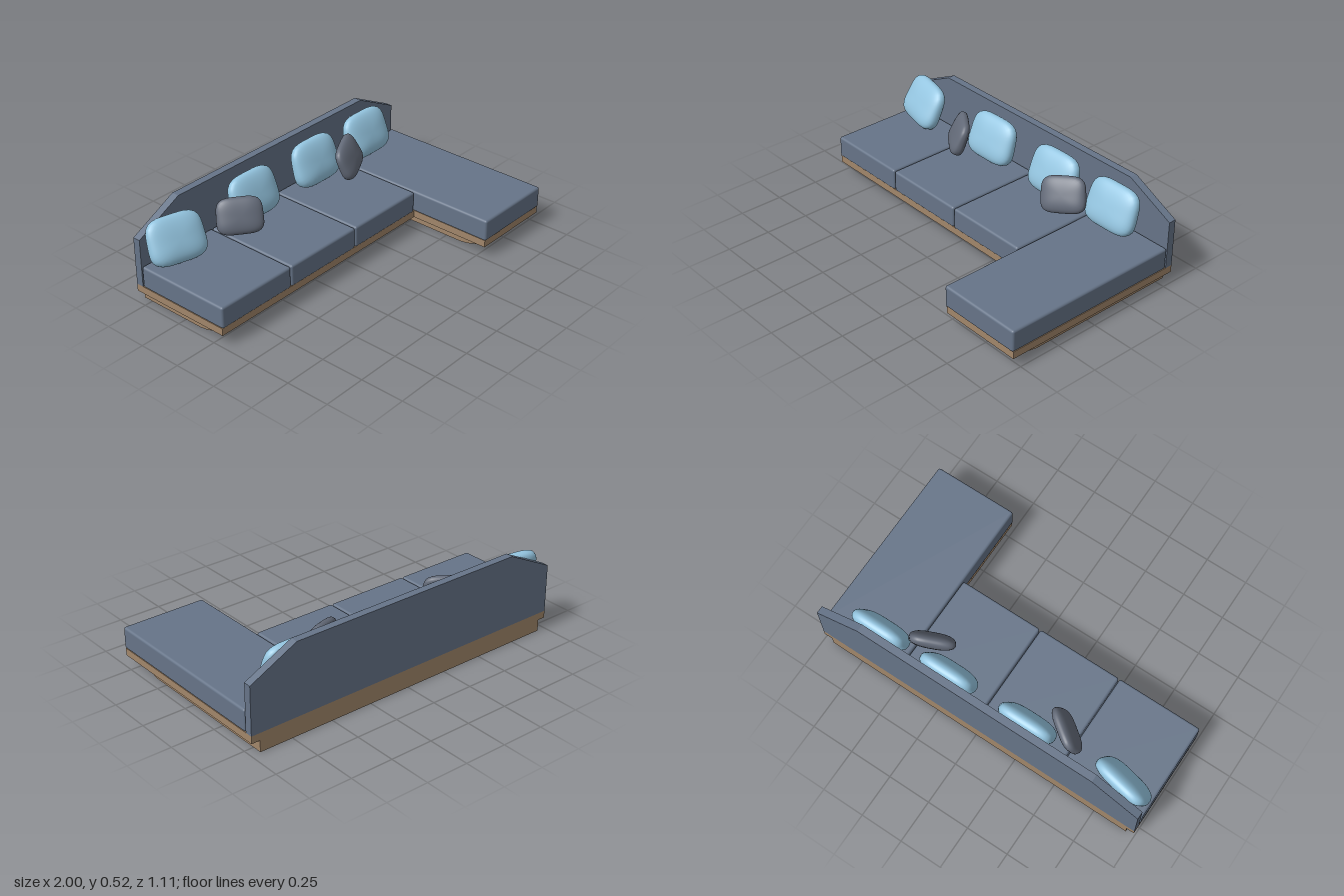
import * as THREE from 'three';
import { mergeVertices } from 'three/addons/utils/BufferGeometryUtils.js';
import { RoundedBoxGeometry } from 'three/addons/geometries/RoundedBoxGeometry.js';

const mat = (name, color) => {
  const m = new THREE.MeshStandardMaterial({ color });
  m.name = name;
  return m;
};

// Puffy pillow: a sphere pushed out to a rounded square, thinner towards the top
function pillowGeometry(w, h, t) {
  let geo = new THREE.SphereGeometry(1, 40, 28);
  geo.rotateX(Math.PI / 2);
  geo.deleteAttribute('uv');
  geo.deleteAttribute('normal');
  geo = mergeVertices(geo, 1e-4);
  const p = geo.attributes.position;
  for (let i = 0; i < p.count; i++) {
    const x = p.getX(i), y = p.getY(i), z = p.getZ(i);
    const flat = Math.pow(x ** 4 + y ** 4, 0.25);
    const r = 1 / Math.pow(flat ** 2.6 + Math.abs(z) ** 2.6, 1 / 2.6);
    const v = y * r;
    p.setXYZ(i, x * r * w / 2 * (1 - 0.03 * v), v * h / 2, z * r * t / 2 * (1 - 0.22 * v));
  }
  geo.computeVertexNormals();
  return geo;
}

// Horizontal slab from an outline in x and z
function slab(shape, bottom, top) {
  const geo = new THREE.ExtrudeGeometry(shape, { depth: top - bottom, bevelEnabled: false, curveSegments: 5 });
  geo.rotateX(Math.PI / 2);
  geo.translate(0, top, 0);
  return geo;
}

export function createModel() {
  const group = new THREE.Group();
  group.name = 'cornerSofa';
  const slate = mat('slateFabric', 0x667488);
  const grey = mat('greyFabric', 0x636a78);
  const blue = mat('blueFabric', 0x94c5e0);
  const wood = mat('wood', 0xa1866a);

  const add = (name, geo, material) => {
    const mesh = new THREE.Mesh(geo, material);
    mesh.name = name;
    group.add(mesh);
    return mesh;
  };

  // Plinth with one rounded bulge under each seat
  const plinth = new THREE.Shape();
  plinth.moveTo(-0.95, -0.555);
  plinth.lineTo(0.945, -0.555);
  const bulge = (right, left, front) => {
    const rx = 0.08, rz = 0.11;
    plinth.lineTo(right, front - rz);
    plinth.quadraticCurveTo(right - 0.01, front - 0.01, right - rx, front);
    plinth.lineTo(left + rx, front);
    plinth.quadraticCurveTo(left + 0.01, front - 0.01, left, front - rz);
  };
  bulge(0.945, 0.56, 0.45);
  plinth.lineTo(0.56, -0.145);
  bulge(0.44, 0.07, -0.035);
  bulge(-0.07, -0.44, -0.035);
  bulge(-0.57, -0.95, -0.035);
  plinth.closePath();
  add('plinth', slab(plinth, 0, 0.066), wood);

  // L-shaped base board
  const board = new THREE.Shape([
    [-0.995, -0.555], [0.995, -0.555], [0.995, 0.545],
    [0.508, 0.545], [0.508, 0.06], [-0.995, 0.06],
  ].map(([x, z]) => new THREE.Vector2(x, z)));
  add('baseBoard', slab(board, 0.066, 0.108), wood);

  // Backrest with sloping shoulders
  const back = new THREE.Shape([
    [-0.995, 0.108], [0.995, 0.108], [0.995, 0.385],
    [0.715, 0.524], [-0.715, 0.524], [-0.995, 0.385],
  ].map(([x, y]) => new THREE.Vector2(x, y)));
  const backGeo = new THREE.ExtrudeGeometry(back, { depth: 0.044, bevelEnabled: false });
  backGeo.translate(0, 0, -0.555);
  add('backrest', backGeo, slate);

  // Three seats and the long chaise
  for (let i = 0; i < 4; i++) {
    const front = i === 3 ? 0.553 : 0.067;
    const depth = front + 0.507;
    const seat = add(i === 3 ? 'chaiseCushion' : 'seatCushion',
      new RoundedBoxGeometry(0.495, 0.125, depth, 3, 0.013), slate);
    seat.position.set(-0.75 + i * 0.5, 0.17, front - depth / 2);
  }

  // Large and small pillows: position, tilt, turn, roll
  const large = pillowGeometry(0.325, 0.255, 0.115);
  const small = pillowGeometry(0.25, 0.2, 0.085);
  const pillow = (name, geo, material, pos, tilt, turn, roll) => {
    const mesh = add(name, geo, material);
    mesh.position.set(...pos);
    mesh.rotation.set(tilt, turn, roll, 'YXZ');
  };
  for (const x of [-0.25, 0.24, 0.672]) {
    pillow('largePillow', large, blue, [x, 0.361, -0.437], -0.3, 0, 0);
  }
  pillow('largePillow', large, blue, [-0.825, 0.355, -0.425], -0.42, -0.2, -0.04);
  pillow('smallPillow', small, grey, [-0.437, 0.341, -0.355], -0.36, -0.64, 0.0);
  pillow('smallPillow', small, grey, [0.411, 0.347, -0.338], -0.38, 0.38, 0.18);
  return group;
}
